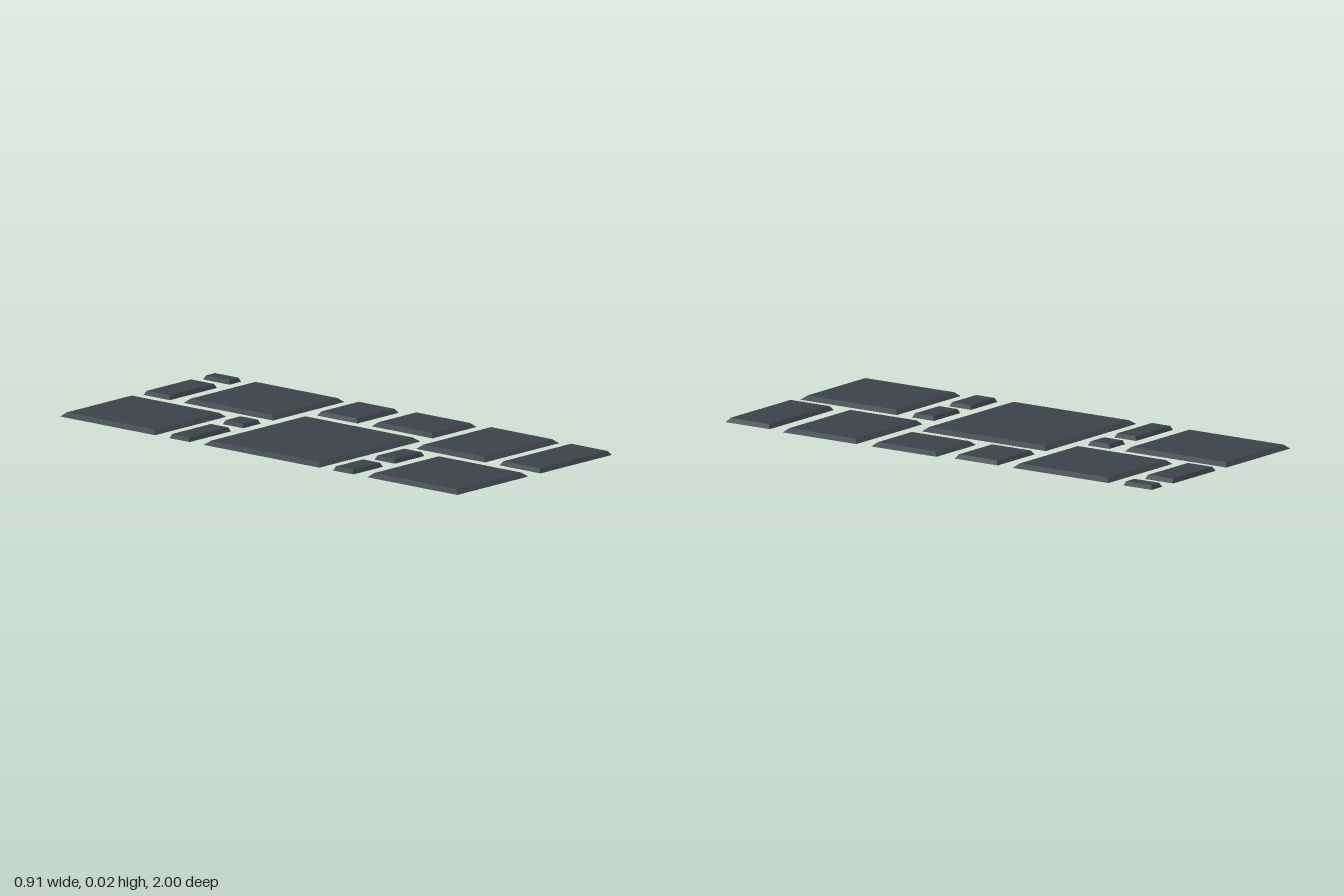
import * as THREE from 'three';

const HEIGHT = 0.016;

// Paving slab: a box whose top corners are drawn inward to make the chamfer
function slabGeometry(width, depth, bevel) {
  const geometry = new THREE.BoxGeometry(width, HEIGHT, depth);
  geometry.translate(0, HEIGHT / 2, 0);
  const p = geometry.attributes.position;
  for (let i = 0; i < p.count; i++) {
    if (p.getY(i) < HEIGHT / 2) continue;
    p.setX(i, p.getX(i) - Math.sign(p.getX(i)) * bevel);
    p.setZ(i, p.getZ(i) - Math.sign(p.getZ(i)) * bevel);
  }
  geometry.computeVertexNormals();
  return geometry;
}

export function createModel() {
  const group = new THREE.Group();
  group.name = 'pavingSlabs';
  const stone = new THREE.MeshStandardMaterial({ color: 0x3a4448 });

  // name, x from, x to, z from, z to, chamfer width
  const slabs = [
    ['backLargeSlab', -0.455, -0.045, -1, -0.522, 0.018],
    ['backStripSlab', 0.025, 0.298, -1, -0.867, 0.009],
    ['backCornerSlab', 0.369, 0.437, -1, -0.867, 0.008],
    ['backSideSlab', 0.025, 0.437, -0.797, -0.348, 0.018],
    ['backSmallSlabOuter', -0.455, -0.216, -0.45, -0.348, 0.008],
    ['backSmallSlabInner', -0.147, -0.045, -0.45, -0.348, 0.008],
    ['centreLargeSlab', -0.455, 0.128, -0.277, 0.305, 0.02],
    ['centreSideSlabBack', 0.198, 0.437, -0.277, -0.074, 0.012],
    ['centreSideSlabFront', 0.198, 0.453, -0.001, 0.305, 0.018],
    ['frontSmallSlabOuter', -0.455, -0.284, 0.375, 0.477, 0.008],
    ['frontSmallSlabInner', -0.216, -0.045, 0.375, 0.477, 0.008],
    ['frontSideSlab', 0.025, 0.453, 0.375, 0.72, 0.018],
    ['frontLargeSlab', -0.455, -0.045, 0.548, 1, 0.018],
    ['frontStripSlab', 0.025, 0.437, 0.793, 1, 0.012],
  ];

  for (const [name, x0, x1, z0, z1, bevel] of slabs) {
    const slab = new THREE.Mesh(slabGeometry(x1 - x0, z1 - z0, bevel), stone);
    slab.name = name;
    slab.position.set((x0 + x1) / 2, 0, (z0 + z1) / 2);
    group.add(slab);
  }
  return group;
}
